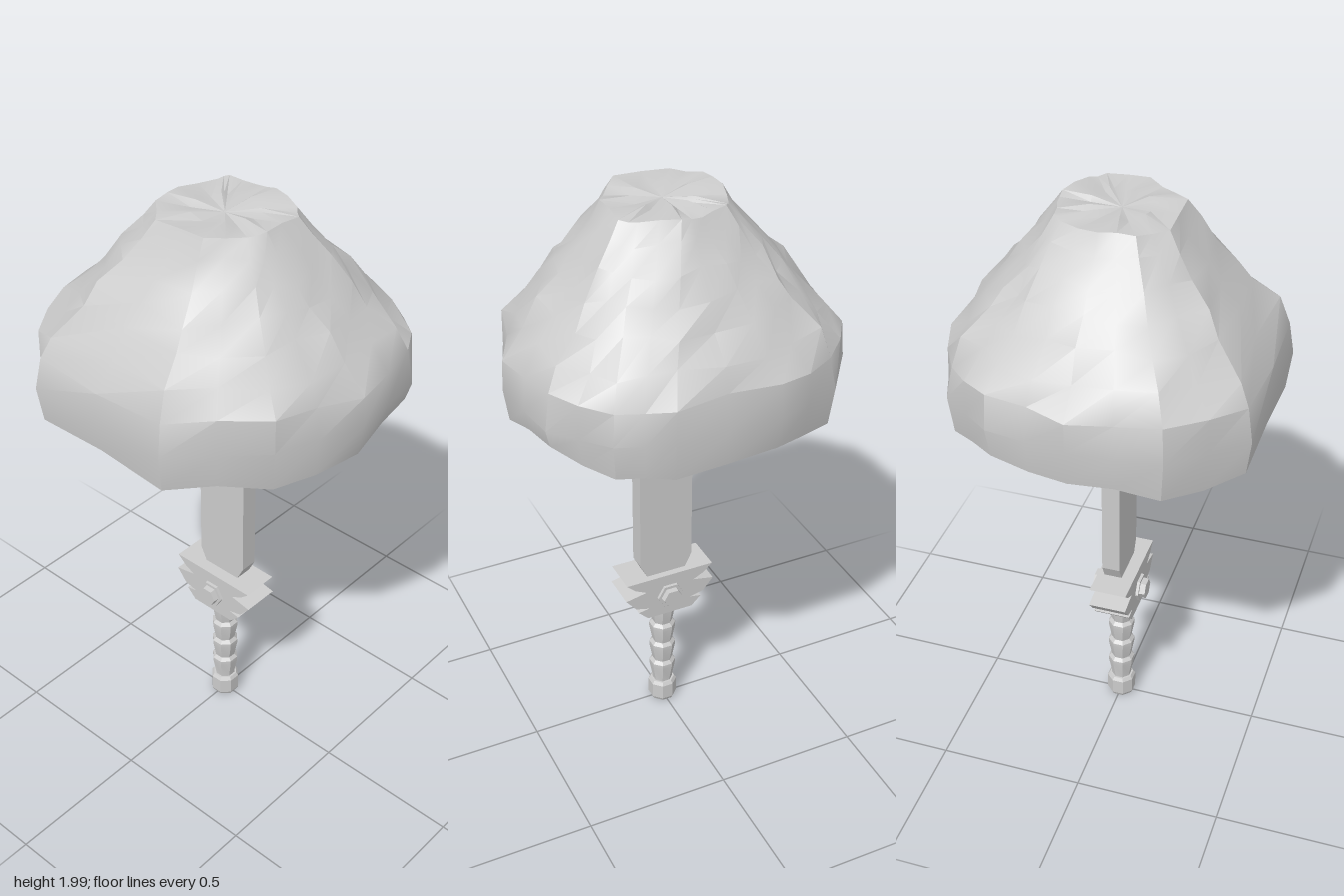
import * as THREE from 'three';
import { toCreasedNormals } from 'three/addons/utils/BufferGeometryUtils.js';

const material = new THREE.MeshStandardMaterial({ color: 0xcccccc });

function addPart(parent, name, geometry) {
  const mesh = new THREE.Mesh(geometry, material);
  mesh.name = name;
  parent.add(mesh);
  return mesh;
}

// Mirrors a half outline (x > 0, bottom to top) and extrudes it centred on z.
function mirroredPlate(half, depth) {
  const left = half.map(([x, y]) => [-x, y]).reverse();
  const shape = new THREE.Shape([...half, ...left].map(([x, y]) => new THREE.Vector2(x, y)));
  const geometry = new THREE.ExtrudeGeometry(shape, { depth, bevelEnabled: false });
  return geometry.translate(0, 0, -depth / 2);
}

// Faceted lathe with flats facing the axes.
function facetedLathe(profile, sides) {
  const points = profile.map(([r, y]) => new THREE.Vector2(r, y));
  const geometry = new THREE.LatheGeometry(points, sides, Math.PI / sides);
  return toCreasedNormals(geometry, 0.2);
}

// Boulder: loft between an uneven broad rim and a small broken crown.
function rockGeometry() {
  const rim = [[0.2, 0.51], [0.44, 0.27], [0.545, -0.015], [0.515, -0.295], [0.37, -0.46], [0.2, -0.525],
    [-0.15, -0.525], [-0.38, -0.44], [-0.51, -0.265], [-0.55, 0], [-0.52, 0.29], [-0.33, 0.505]];
  const crown = [[0.08, 0.18], [0.16, 0.08], [0.19, 0.03], [0.19, -0.11], [0.15, -0.155], [0.03, -0.2],
    [-0.04, -0.19], [-0.13, -0.165], [-0.155, -0.14], [-0.2, -0.01], [-0.185, 0.1], [-0.11, 0.18]];
  const lowerEdge = [1.32, 1.31, 1.34, 1.39, 1.33, 1.32, 1.34, 1.32, 1.35, 1.33, 1.31, 1.33];
  const n = rim.length, steps = 2, count = n * steps;
  // Each level: y, blend from crown (0) to rim (1), roughness
  const levels = [[1.45, 1, 0], [1.56, 0.97, 0.01], [1.64, 0.81, 0.014], [1.72, 0.61, 0.014],
    [1.79, 0.44, 0.012], [1.86, 0.28, 0.012], [1.93, 0.11, 0.008], [1.985, 0, 0.006]];
  const positions = [], index = [];
  const mix = THREE.MathUtils.lerp;

  const sample = (outline, k) => {
    const i = Math.floor(k / steps), f = (k % steps) / steps;
    const a = outline[i], b = outline[(i + 1) % n];
    return [mix(a[0], b[0], f), mix(a[1], b[1], f)];
  };
  const addRing = (scale, yAt, blend, rough) => {
    for (let k = 0; k < count; k++) {
      const a = sample(crown, k), b = sample(rim, k);
      const s = scale + rough * 2 * Math.sin(k * 2.3 + blend * 17);
      positions.push(mix(a[0], b[0], blend) * s, yAt(k), mix(a[1], b[1], blend) * s);
    }
  };
  const edgeY = (k) => {
    const i = Math.floor(k / steps);
    return mix(lowerEdge[i], lowerEdge[(i + 1) % n], (k % steps) / steps) + (k % 2) * 0.015 * Math.sin(k * 1.7);
  };

  // Underside, rim, sloping sides, then the rough crown
  addRing(0.3, () => 1.35, 1, 0);
  addRing(0.65, (k) => 1.345 + 0.012 * Math.sin(k * 1.9), 1, 0);
  addRing(0.97, edgeY, 1, 0);
  for (const [y, blend, rough] of levels) {
    addRing(1, (k) => y + rough * Math.sin(k * 1.3 + y * 20), blend, rough);
  }
  addRing(0.5, (k) => 1.985 + 0.008 * Math.sin(k * 2.1), 0, 0);
  const rings = positions.length / 3 / count;
  for (let r = 0; r < rings - 1; r++) {
    for (let k = 0; k < count; k++) {
      const a = r * count + k, b = r * count + (k + 1) % count;
      index.push(a, b, b + count, a, b + count, a + count);
    }
  }
  const bottom = positions.length / 3, top = bottom + 1, last = (rings - 1) * count;
  positions.push(0, 1.35, 0, 0, 1.975, 0);
  for (let k = 0; k < count; k++) {
    const next = (k + 1) % count;
    index.push(bottom, next, k, top, last + k, last + next);
  }
  const geometry = new THREE.BufferGeometry();
  geometry.setAttribute('position', new THREE.Float32BufferAttribute(positions, 3));
  geometry.setIndex(index);
  return toCreasedNormals(geometry, 0.5);
}

export function createModel() {
  const model = new THREE.Group();
  model.name = 'swordInRock';

  addPart(model, 'rock', rockGeometry());

  // Blade runs up into the rock
  const blade = addPart(model, 'blade', mirroredPlate([[0.07, 0.59], [0.097, 0.645], [0.097, 1.5]], 0.062));
  blade.position.set(0.004, 0, -0.01);

  // Winged crossguard with three stacked points on each side
  const guard = new THREE.Group();
  guard.name = 'crossguard';
  model.add(guard);
  addPart(guard, 'guardWings', mirroredPlate([[0.085, 0.43], [0.12, 0.465], [0.08, 0.472], [0.13, 0.485],
    [0.167, 0.53], [0.09, 0.545], [0.13, 0.565], [0.163, 0.595]], 0.13));

  // Hexagonal boss through the guard, with a raised gem on both faces
  const sides = [['hexBoss', 0.048, 0.05, 0.06, 0.075], ['hexGem', 0.035, 0.038, 0.075, 0.095]];
  for (const sign of [1, -1]) {
    for (const [name, rTop, rBase, z0, z1] of sides) {
      const hex = new THREE.CylinderGeometry(rTop, rBase, z1 - z0 + 0.02, 6).toNonIndexed();
      hex.computeVertexNormals();
      hex.rotateY(Math.PI / 6).rotateX(sign * Math.PI / 2);
      addPart(guard, name, hex).position.set(0, 0.51, sign * ((z0 + z1) / 2 - 0.01));
    }
  }

  // Grip with repeated swells
  const profile = [[0, 0.07], [0.036, 0.07]];
  for (let i = 0; i < 4; i++) {
    const y = 0.09 + i * 0.087;
    profile.push([0.036, y], [0.047, y + 0.06], [0.047, y + 0.075]);
  }
  profile.push([0.036, 0.44], [0, 0.44]);
  addPart(model, 'grip', facetedLathe(profile, 8));
  addPart(model, 'pommel', facetedLathe([[0, 0], [0.045, 0], [0.051, 0.012], [0.051, 0.07], [0.043, 0.082], [0, 0.082]], 8));

  return model;
}
